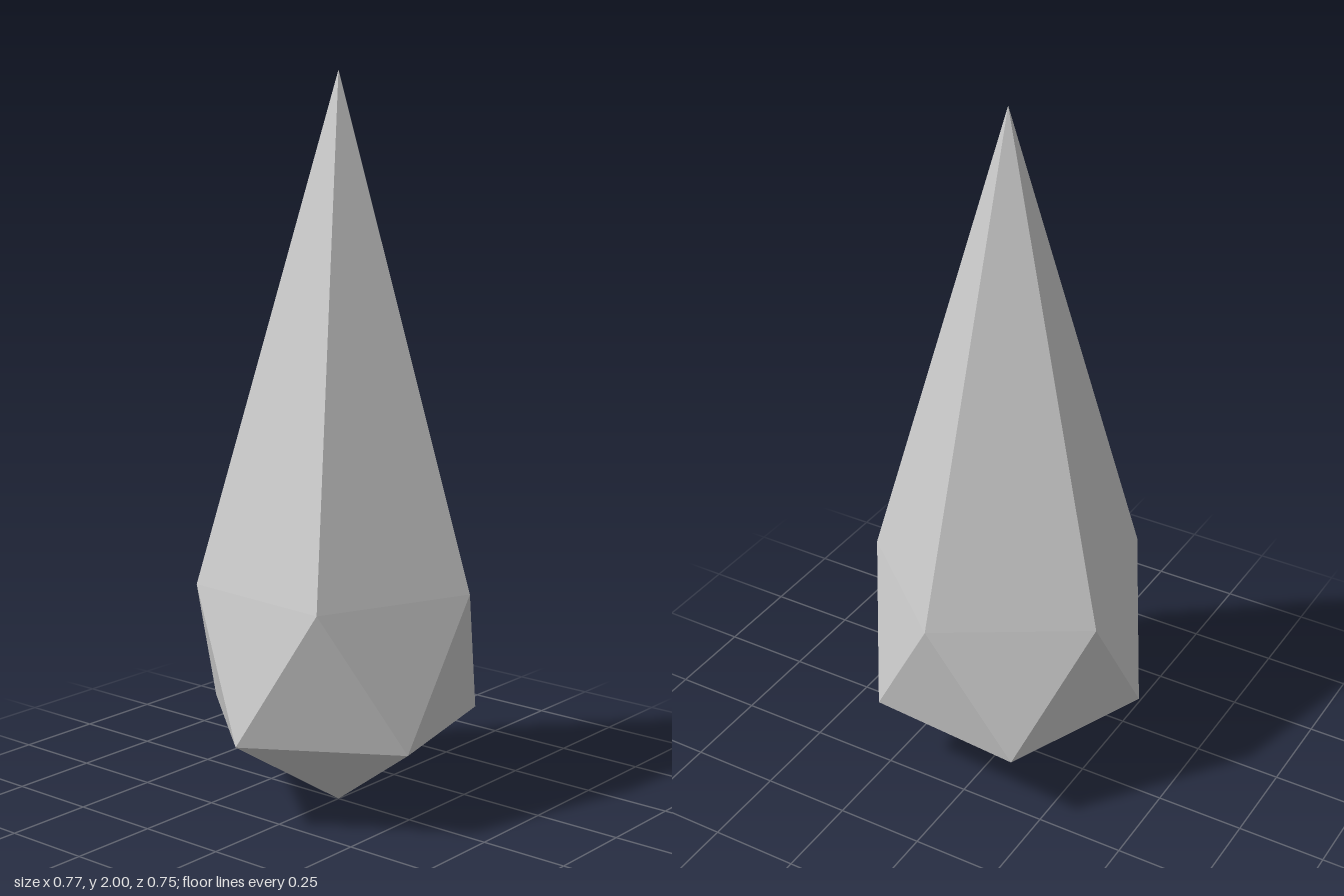
import * as THREE from 'three';

const SIDES = 5;
const RADIUS = 0.388;
const STEP = (Math.PI * 2) / SIDES;
const START = THREE.MathUtils.degToRad(4.5);

// Ring of five corners at a given height
function ring(y, turn) {
  return Array.from({ length: SIDES }, (_, i) => {
    const a = START + turn + i * STEP;
    return new THREE.Vector3(RADIUS * Math.cos(a), y, RADIUS * Math.sin(a));
  });
}

export function createModel() {
  const group = new THREE.Group();
  group.name = 'crystal';

  const tip = new THREE.Vector3(0, 2, 0);
  const base = new THREE.Vector3(0, 0, 0);
  const upper = ring(0.635, 0);
  const lower = ring(0.247, STEP / 2);

  // Long tip facet, two belt facets and a base facet for each side
  const corners = [];
  for (let i = 0; i < SIDES; i++) {
    const j = (i + 1) % SIDES;
    corners.push(
      tip, upper[j], upper[i],
      upper[i], upper[j], lower[i],
      upper[j], lower[j], lower[i],
      base, lower[i], lower[j],
    );
  }

  const geometry = new THREE.BufferGeometry().setFromPoints(corners);
  geometry.computeVertexNormals();
  const material = new THREE.MeshStandardMaterial({ color: 0xcccccc, flatShading: true });
  const gem = new THREE.Mesh(geometry, material);
  gem.name = 'gemBody';
  group.add(gem);
  return group;
}
